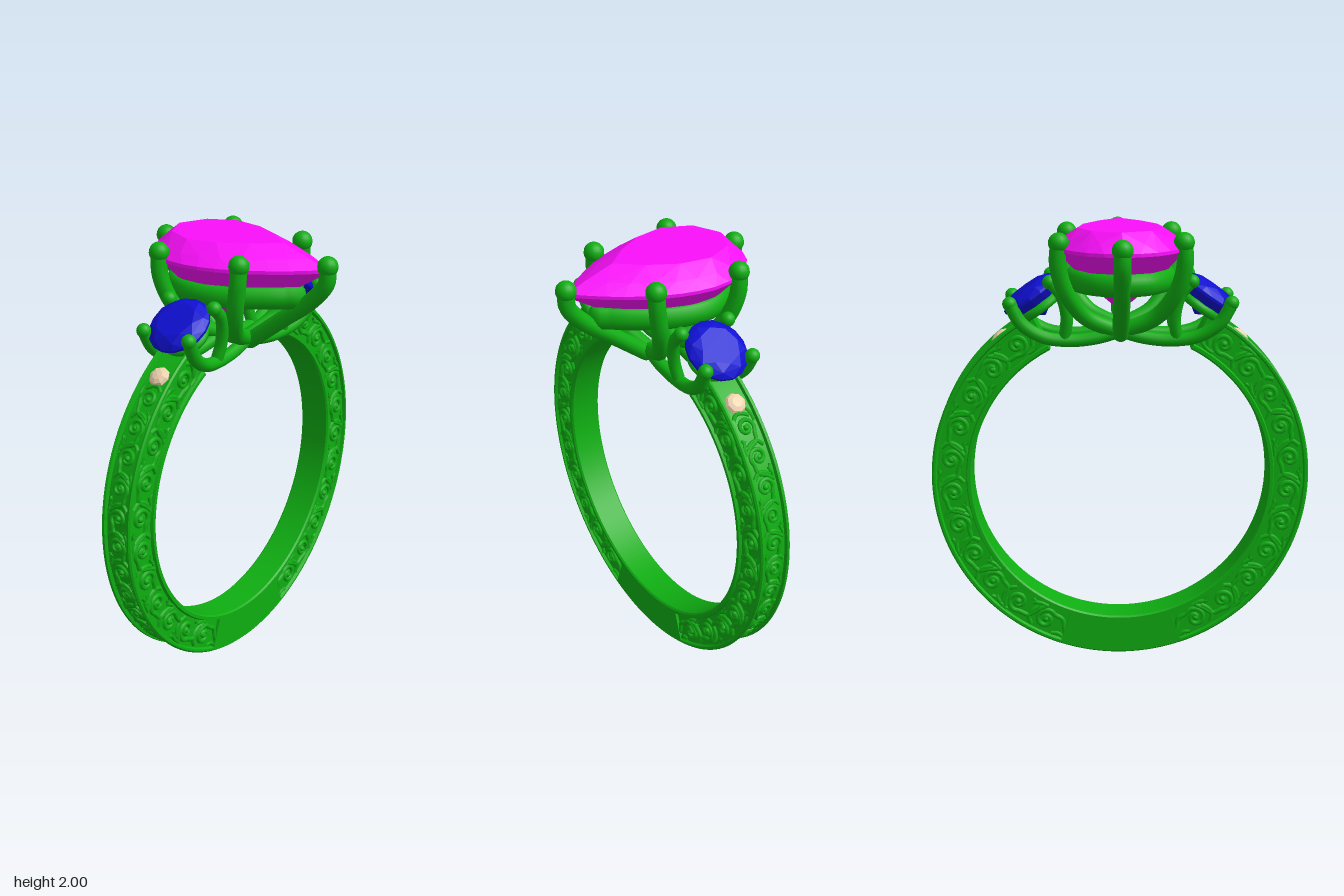
import * as THREE from 'three';
import { mergeGeometries, toCreasedNormals } from 'three/addons/utils/BufferGeometryUtils.js';
import { ConvexGeometry } from 'three/addons/geometries/ConvexGeometry.js';

const ZC = -0.055;   // middle plane of the band
const YC = 0.857;    // centre height of the band
const V = (x, y, z) => new THREE.Vector3(x, y, z);
const mat = (color, flatShading = false) =>
  new THREE.MeshStandardMaterial({ color, flatShading, side: THREE.DoubleSide });
const metal = mat(0x0fae12), centreMat = mat(0xfa0ffa, true);
const sideMat = mat(0x0f0fd2, true), accentMat = mat(0xeed3ae, true);

function add(parent, name, geometry, material) {
  const mesh = new THREE.Mesh(geometry, material);
  mesh.name = name;
  parent.add(mesh);
  return mesh;
}

// Round wire through points, with a ball at the start and optionally at the end
function wire(points, radius, tipRadius, segments = 28) {
  const curve = new THREE.CatmullRomCurve3(points);
  const ball = (p, r) => new THREE.SphereGeometry(r, 16, 12).translate(p.x, p.y, p.z);
  return mergeGeometries([
    new THREE.TubeGeometry(curve, segments, radius, 12),
    ball(points[0], tipRadius), ball(points[points.length - 1], radius),
  ]);
}

// Arc of the band: a (radius, depth) profile swept from angle a to b, 0 = bottom
function bandArc(profile, a, b, segments) {
  const closed = [...profile, profile[0]];
  const body = toCreasedNormals(new THREE.LatheGeometry(closed, segments, a, b - a), 0.6);
  const caps = [a, b].map((t) =>
    new THREE.ShapeGeometry(new THREE.Shape(profile)).rotateY(t - Math.PI / 2).toNonIndexed());
  return mergeGeometries([body, ...caps]).rotateX(Math.PI / 2).translate(0, YC, ZC);
}

function mirrored(half) {
  const low = half.filter(([, h]) => h > 0).map(([r, h]) => [r, -h]).reverse();
  return [...half, ...low].map(([r, h]) => new THREE.Vector2(r, h));
}

// Scroll ornament: curls, leaves and beads laid on a surface place(s, t)
function scrolls(place, count, step, size) {
  const parts = [];
  const tube = (flat, r, n) => parts.push(new THREE.TubeGeometry(
    new THREE.CatmullRomCurve3(flat.map(([s, t]) => place(s, t))), n, r, 6));
  for (let k = 0; k < count; k++) {
    const sign = k % 2 ? -1 : 1, s0 = (k + 0.5) * step;
    const at = (s, t) => [s0 + s * size, sign * t * size];
    const curl = [at(-0.125, 0.052), at(-0.1, 0.02), at(-0.075, -0.025)];
    for (let i = 0; i <= 14; i++) {
      const a = -2.3 + i * 0.6, r = 0.05 - i * 0.0028;
      curl.push(at(r * Math.cos(a), 0.004 + r * Math.sin(a)));
    }
    tube(curl, 0.0115 * size, 34);
    tube([at(0.05, 0.055), at(0.075, 0.03), at(0.075, -0.005), at(0.055, -0.04)], 0.011 * size, 8);
    tube([at(-0.05, 0.057), at(-0.08, 0.048), at(-0.1, 0.058)], 0.009 * size, 6);
    tube([at(0.02, -0.058), at(0.06, -0.056), at(0.095, -0.04)], 0.009 * size, 6);
    const c = place(...at(0, 0.004));
    parts.push(new THREE.SphereGeometry(0.015 * size, 8, 6).translate(c.x, c.y, c.z));
  }
  return mergeGeometries(parts);
}

// Pear outline: round end to -z, point to +z
const halfPear = new THREE.CatmullRomCurve3([
  [0, -0.44], [0.13, -0.405], [0.235, -0.3], [0.28, -0.19], [0.286, -0.1], [0.268, 0],
  [0.228, 0.11], [0.17, 0.21], [0.1, 0.31], [0, 0.42],
].map(([x, z]) => V(x, 0, z)));
function pear(n, scale, y, shift = 0) {
  const half = halfPear.getSpacedPoints(n);
  const loop = [...half, ...half.slice(1, -1).reverse().map((p) => V(-p.x, 0, p.z))];
  return loop.map((p) => V(p.x * scale, y, -0.01 + shift + (p.z + 0.01) * scale));
}

function oval(n, rx, rz, y, turn = 0) {
  return Array.from({ length: n }, (_, i) => {
    const a = ((i + turn) / n) * Math.PI * 2;
    return V(rx * Math.cos(a), y, rz * Math.sin(a));
  });
}

export function createModel() {
  const model = new THREE.Group();

  // Band: a plain foot and two panelled arms with raised rims
  const band = new THREE.Group();
  band.name = 'band';
  model.add(band);
  const START = 0.34, END = 2.66;
  const plain = mirrored([[0.857, 0.07], [0.85, 0.0775], [0.682, 0.0775], [0.675, 0.07]]);
  const panelled = mirrored([[0.838, 0], [0.838, 0.058], [0.855, 0.061], [0.857, 0.071],
    [0.85, 0.0775], [0.84, 0.0775], [0.834, 0.064], [0.702, 0.064], [0.697, 0.0775],
    [0.682, 0.0775], [0.675, 0.07]]);
  add(band, 'bandFoot', bandArc(plain, -START, START, 24), metal);
  for (const m of [1, -1]) {
    const side = m > 0 ? 'left' : 'right';
    const [a, b] = m > 0 ? [START, END] : [-END, -START];
    add(band, side + 'BandArm', bandArc(panelled, a, b, 72), metal);
    const polar = (phi, r, z) => V(m * r * Math.sin(phi), YC - r * Math.cos(phi), z);
    for (const f of [1, -1]) {
      add(band, side + (f > 0 ? 'Front' : 'Back') + 'Scrolls', scrolls(
        (s, t) => polar(START + 0.03 + s / 0.768, 0.768 + t, ZC + f * 0.066), 11, 0.156, 1), metal);
    }
    add(band, side + 'OuterScrolls', scrolls(
      (s, t) => polar(START + 0.03 + s / 0.84, 0.84, ZC + t), 13, 0.131, 0.84), metal);

    // Small accent stone set into the shoulder
    const accent = add(model, side + 'AccentStone', new THREE.SphereGeometry(0.048, 8, 6), accentMat);
    accent.scale.set(1, 0.5, 1);
    accent.position.copy(polar(2.45, 0.84, ZC));
    accent.rotation.z = -m * (Math.PI - 2.45);
  }

  // Centre stone
  add(model, 'centreStone', new ConvexGeometry([
    ...pear(5, 0.65, 2.0, -0.07), ...pear(10, 0.86, 1.955, -0.025), ...pear(14, 1, 1.92),
    ...pear(14, 1, 1.905), ...pear(6, 0.57, 1.765, -0.04), V(0, 1.62, -0.08)]), centreMat);

  // Gallery rail under the centre stone
  const railPath = new THREE.CatmullRomCurve3(pear(14, 0.72, 0, -0.02), true);
  const rail = add(model, 'galleryRail', new THREE.TubeGeometry(railPath, 72, 0.038, 12, true), metal);
  rail.scale.y = 1.35;
  rail.position.y = 1.775;

  // Six prongs of the centre setting
  const centreProngs = new THREE.Group();
  centreProngs.name = 'centreProngs';
  model.add(centreProngs);
  const prong = (pts) => add(centreProngs, 'centreProng',
    wire(pts.map((p) => V(...p)), 0.037, 0.045), metal);
  prong([[0, 1.935, 0.425], [0, 1.86, 0.42], [0, 1.77, 0.345], [0, 1.66, 0.2], [0, 1.53, 0.03]]);
  prong([[0, 1.935, -0.435], [0, 1.86, -0.43], [0, 1.77, -0.37], [0, 1.66, -0.27], [0, 1.53, -0.14]]);
  for (const m of [1, -1]) {
    prong([[m * 0.237, 1.945, 0.14], [m * 0.242, 1.85, 0.135], [m * 0.225, 1.73, 0.11],
      [m * 0.15, 1.61, 0.06], [0, 1.535, 0.01]]);
    prong([[m * 0.267, 1.945, -0.26], [m * 0.272, 1.85, -0.255], [m * 0.24, 1.73, -0.225],
      [m * 0.155, 1.61, -0.17], [0, 1.535, -0.12]]);
  }
  add(model, 'baseBar', wire([V(0, 1.535, 0.03), V(0, 1.53, ZC), V(0, 1.535, -0.14)], 0.034, 0.036), metal);

  // Side settings, tilted outward over the shoulders
  for (const m of [1, -1]) {
    const setting = new THREE.Group();
    setting.name = (m > 0 ? 'left' : 'right') + 'SideSetting';
    model.add(setting);
    const head = new THREE.Group();
    head.name = 'sideHead';
    head.position.set(m * 0.395, 1.69, ZC);
    head.rotation.z = -m * 0.61;
    setting.add(head);
    add(head, 'sideStone', new ConvexGeometry([
      ...oval(8, 0.09, 0.088, 0.045), ...oval(8, 0.123, 0.12, 0.03, 0.5), ...oval(16, 0.143, 0.138, 0.008),
      ...oval(16, 0.143, 0.138, -0.004), ...oval(8, 0.08, 0.078, -0.06), V(0, -0.11, 0)]), sideMat);
    add(head, 'sideRail', new THREE.TorusGeometry(0.088, 0.022, 10, 32)
      .rotateX(Math.PI / 2).translate(0, -0.062, 0), metal);
    for (const f of [1, -1]) {
      const path = (pts) => pts.map(([x, y, z]) => V(m * x, y, ZC + f * z));
      add(setting, 'outerProng', wire(path([[0.485, 1.67, 0.12], [0.435, 1.58, 0.112],
        [0.34, 1.518, 0.095], [0.22, 1.5, 0.082], [0.1, 1.512, 0.076], [0, 1.54, 0.07]]),
      0.03, 0.032), metal);
      add(setting, 'innerProng', wire(path([[0.31, 1.765, 0.12], [0.262, 1.71, 0.12],
        [0.237, 1.6, 0.103], [0.25, 1.505, 0.084]]), 0.027, 0.032, 18), metal);
    }
  }
  return model;
}
